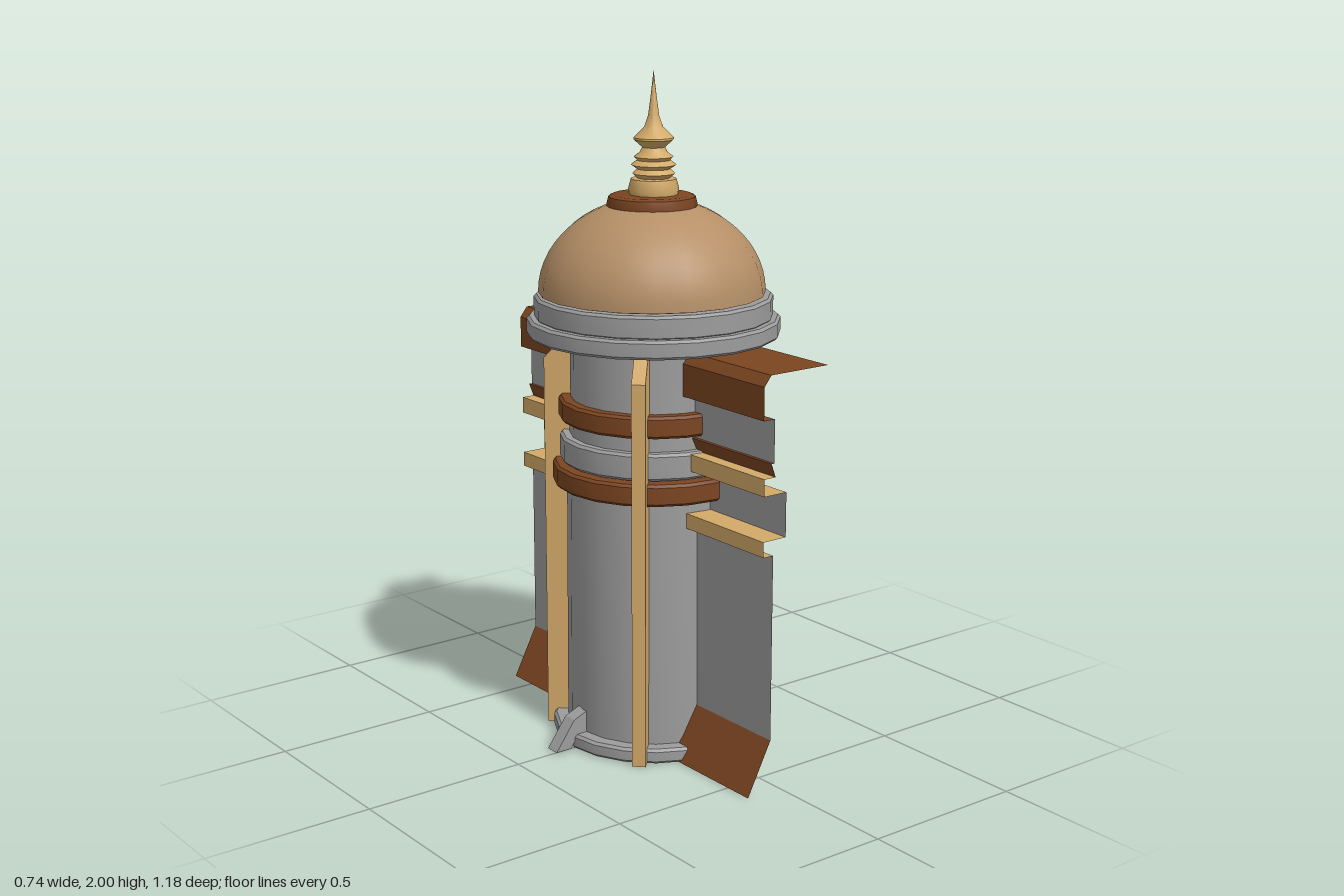
import * as THREE from 'three';
import { toCreasedNormals } from 'three/addons/utils/BufferGeometryUtils.js';

const SIDES = 20;

function material(name, color) {
  const m = new THREE.MeshStandardMaterial({ color, side: THREE.DoubleSide });
  m.name = name;
  return m;
}

export function createModel() {
  const model = new THREE.Group();
  model.name = 'domedTower';
  const stone = material('grey stone', 0x9c9c9c);
  const brown = material('brown trim', 0x7c4521);
  const gold = material('pale gold', 0xd3aa69);
  const tan = material('tan dome', 0xb58f67);

  function add(name, geometry, mat, parent = model) {
    const mesh = new THREE.Mesh(geometry, mat);
    mesh.name = name;
    parent.add(mesh);
    return mesh;
  }

  // Turned part from [radius, height] pairs, bottom to top
  function turned(name, pairs, mat, sides = SIDES) {
    const pts = pairs.map(([r, y]) => new THREE.Vector2(r, y));
    return add(name, toCreasedNormals(new THREE.LatheGeometry(pts, sides), 0.6), mat);
  }

  // Hoop with softened outer edges
  function hoop(name, inner, outer, y0, y1, mat) {
    const b = 0.008;
    return turned(name, [
      [inner, y0], [outer - b, y0], [outer, y0 + b],
      [outer, y1 - b], [outer - b, y1], [inner, y1],
    ], mat);
  }

  // Hollow shaft and its hoops
  turned('shaft', [[0.262, 0.01], [0.258, 0.8], [0.246, 1.0], [0.246, 1.26]], stone);
  hoop('baseRing', 0.255, 0.305, 0.005, 0.05, stone);
  hoop('lowerBand', 0.24, 0.3, 0.79, 0.855, brown);
  hoop('middleBand', 0.24, 0.278, 0.86, 0.94, stone);
  hoop('upperBand', 0.24, 0.281, 0.985, 1.05, brown);

  // Cornice under the dome
  hoop('corniceLower', 0.2, 0.372, 1.235, 1.29, stone);
  hoop('corniceUpper', 0.2, 0.35, 1.285, 1.355, stone);

  // Dome
  const domePoints = [[0.3, 1.352]];
  for (let i = 0; i <= 14; i++) {
    const a = (i / 14) * Math.PI / 2;
    domePoints.push([0.332 * Math.cos(a), 1.36 + 0.275 * Math.sin(a)]);
  }
  turned('dome', domePoints, tan).position.x = -0.006;
  turned('domeCollar', [
    [0.05, 1.6], [0.13, 1.6], [0.132, 1.615], [0.126, 1.64], [0.115, 1.645], [0, 1.645],
  ], brown).position.x = -0.006;

  // Ribbed finial and needle
  turned('finial', [
    [0.07, 1.64], [0.074, 1.66], [0.066, 1.69], [0.048, 1.692], [0.062, 1.705],
    [0.048, 1.718], [0.066, 1.73], [0.048, 1.743], [0.057, 1.753], [0.04, 1.766],
    [0.033, 1.78], [0.058, 1.802], [0.058, 1.808], [0.027, 1.838], [0.016, 1.87],
    [0.008, 1.93], [0, 2],
  ], gold);

  // Plate cut from a [radius, height] outline, standing on a radial line at an angle
  function radialPlate(name, outline, thickness, angle, mat) {
    const shape = new THREE.Shape(outline.map(([r, y]) => new THREE.Vector2(r, y)));
    const g = new THREE.ExtrudeGeometry(shape, { depth: thickness, bevelEnabled: false });
    g.translate(0, 0, -thickness / 2);
    const mesh = add(name, g, mat);
    mesh.rotation.y = angle;
    return mesh;
  }

  for (let i = 0; i < 4; i++) {
    // Diagonal posts with sloped heads
    radialPlate('post', [
      [0.09, 0.005], [0.325, 0.005], [0.325, 1.155], [0.25, 1.24], [0.23, 1.24],
      [0.23, 0.035], [0.09, 0.035],
    ], 0.04, Math.PI / 4 + i * Math.PI / 2, gold);
    // Sloped feet joined by spokes beneath the shaft
    const foot = radialPlate('foot', [
      [0, 0.01], [0.27, 0.01], [0.29, 0.05], [0.318, 0.01], [0.37, 0.01],
      [0.305, 0.098], [0.25, 0.12], [0.25, 0.035], [0, 0.035],
    ], 0.045, i * Math.PI / 2, stone);
    if (i % 2) foot.position.x = -0.02;
    else foot.position.z = -0.012;
  }

  // Folded sheet running along z, from [x, y] pairs
  function sheet(name, profile, z0, z1, mat, parent) {
    const p = [];
    for (let i = 0; i < profile.length - 1; i++) {
      const [ax, ay] = profile[i], [bx, by] = profile[i + 1];
      p.push(ax, ay, z0, ax, ay, z1, bx, by, z1, ax, ay, z0, bx, by, z1, bx, by, z0);
    }
    const g = new THREE.BufferGeometry();
    g.setAttribute('position', new THREE.Float32BufferAttribute(p, 3));
    g.computeVertexNormals();
    add(name, g, mat, parent);
  }

  // Thin wall wings in front of and behind the tower
  const wallX = -0.035, railX = -0.07, recessX = 0.01;
  const wallParts = [
    ['wallSkirt', [[-0.115, 0.005], [wallX, 0.16]], brown],
    ['wallLowerPanel', [[wallX, 0.16], [wallX, 0.71]], stone],
    ['wallLowerRail', [[wallX, 0.71], [railX, 0.71], [railX, 0.755], [recessX, 0.755]], gold],
    ['wallMiddlePanel', [[recessX, 0.755], [recessX, 0.885]], stone],
    ['wallUpperRail', [[recessX, 0.885], [railX, 0.885], [railX, 0.935], [-0.03, 0.935]], gold],
    ['wallStrip', [[-0.03, 0.935], [-0.045, 0.975], [wallX, 0.975]], brown],
    ['wallUpperPanel', [[wallX, 0.975], [wallX, 1.1]], stone],
    ['wallCap', [[wallX, 1.1], [-0.074, 1.1], [-0.074, 1.195], [-0.05, 1.225], [0.155, 1.225]], brown],
  ];
  for (const side of [1, -1]) {
    const wing = new THREE.Group();
    wing.name = side > 0 ? 'frontWall' : 'backWall';
    for (const [name, profile, mat] of wallParts) {
      const inner = name === 'wallCap' ? 0.18 : 0.225;
      sheet(name, profile, side > 0 ? inner : -0.59, side > 0 ? 0.59 : -inner, mat, wing);
    }
    model.add(wing);
  }

  return model;
}
